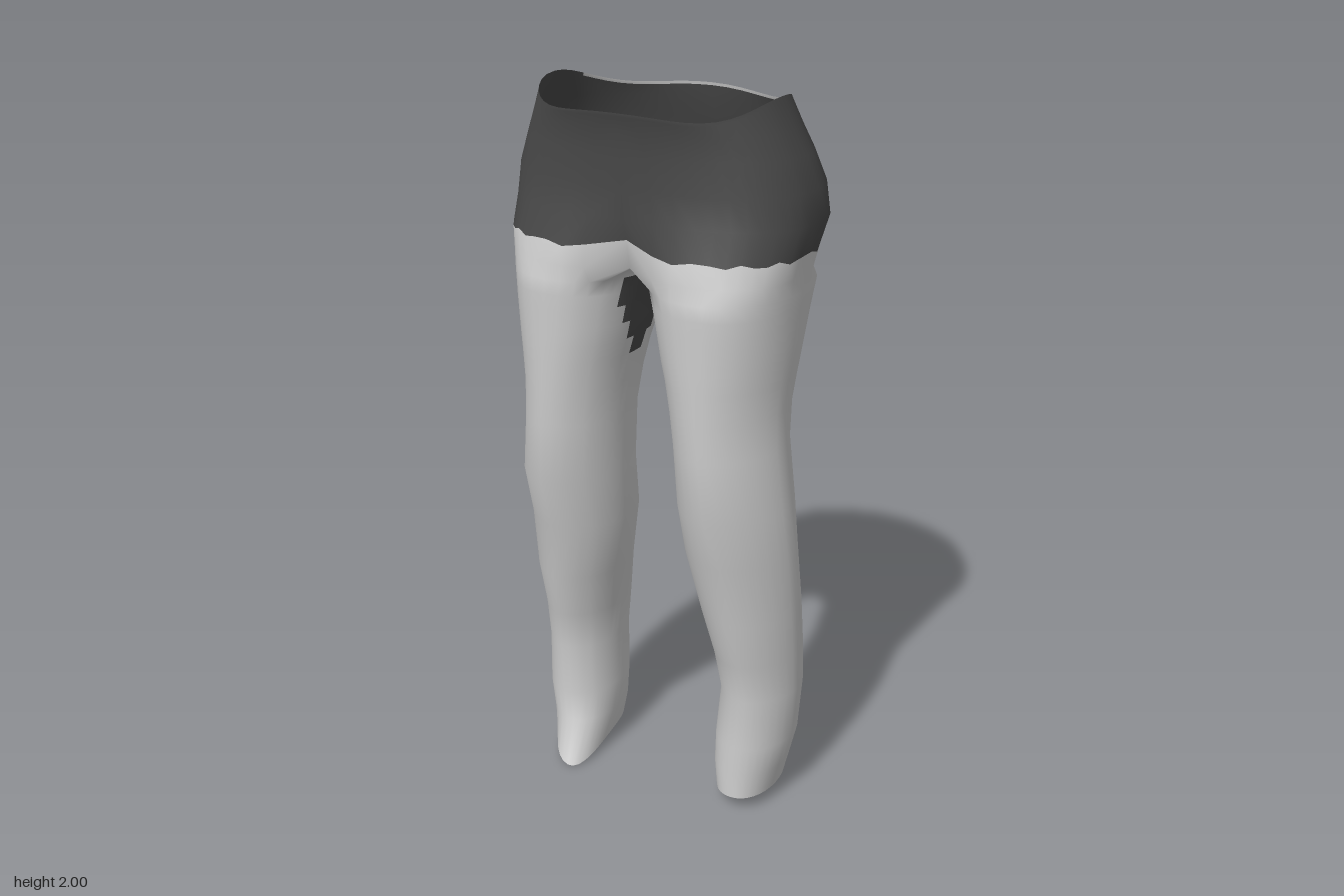
import * as THREE from 'three';
import { mergeVertices } from 'three/addons/utils/BufferGeometryUtils.js';

const K = 24; // segments round the outer arc, front centre to back centre
const M = 12; // segments across the inner thigh
const N = K + M;

// hips: y, half width, front z, back z, front crease, back crease, front roundness
const hips = [
  [1.965, 0.328, 0.257, -0.207, 0, 0, 0.85],
  [1.957, 0.331, 0.256, -0.209, 0, 0, 0.85],
  [1.92, 0.357, 0.245, -0.217, 0, 0, 0.85],
  [1.86, 0.385, 0.237, -0.235, 0, 0, 0.83],
  [1.78, 0.414, 0.237, -0.262, 0.005, 0, 0.79],
  [1.70, 0.422, 0.243, -0.28, 0.015, 0, 0.75],
  [1.625, 0.412, 0.27, -0.243, 0.06, 0.005, 0.7],
  [1.57, 0.402, 0.277, -0.226, 0.08, 0.025, 0.69],
];
const seamRow = 6;
const crotchRow = hips.length - 1;

// legs: y, inner x, outer x, back z, front z
const legs = [
  [1.53, 0.014, 0.398, -0.21, 0.278],
  [1.49, 0.025, 0.394, -0.197, 0.278],
  [1.45, 0.035, 0.391, -0.184, 0.278],
  [1.40, 0.045, 0.388, -0.17, 0.277],
  [1.35, 0.055, 0.385, -0.157, 0.277],
  [1.30, 0.068, 0.381, -0.144, 0.276],
  [1.22, 0.083, 0.376, -0.124, 0.275],
  [1.12, 0.095, 0.38, -0.108, 0.272],
  [0.95, 0.103, 0.4, -0.11, 0.264],
  [0.80, 0.104, 0.405, -0.12, 0.218],
  [0.62, 0.143, 0.407, -0.143, 0.188],
  [0.48, 0.17, 0.402, -0.162, 0.152],
  [0.36, 0.188, 0.4, -0.165, 0.13],
  [0.21, 0.18, 0.392, -0.146, 0.135],
  [0.12, 0.183, 0.372, -0.132, 0.137],
  [0.045, 0.197, 0.355, -0.12, 0.14],
];

// half widths of the dark inner-thigh patch, from the top leg row down
const patchWidths = [4, 4, 3, 2, 1];

const bow = (v, e) => Math.sign(v) * Math.abs(v) ** e;

function hipPoint(r, k) {
  const [y, w, front, back, creaseF, creaseB, round] = hips[r];
  const a = Math.PI * (0.5 - k / K);
  const s = Math.sin(a), e = s > 0 ? round : 0.95;
  const x = k === 0 || k === K ? 0 : w * bow(Math.cos(a), e);
  const near = Math.max(0, 1 - x / 0.2) ** 2;
  const z = (front + back) / 2 + (front - back) / 2 * bow(s, e) - near * (s > 0 ? creaseF : -creaseB);
  let dy = 0;
  if (r < 2) dy = 0.035 * Math.cos(a) ** 4 - 0.015 * Math.sin(2 * a) ** 2; // raised sides of the waist
  if (r === seamRow) dy = k === 0 ? 0.02 : s < -0.5 ? -0.03 : 0.006 * Math.sin(k * 2.3);
  return [x, y + dy, z];
}

// crotch saddle, running from the back centre to the front centre
function crotchPoint(k) {
  const a = hipPoint(crotchRow, K), b = hipPoint(crotchRow, 0), t = (k - K) / M;
  return [0, a[1] - 0.012 * Math.sin(Math.PI * t), a[2] + (b[2] - a[2]) * t];
}

function legPoint(r, k, side) {
  const [y, inner, outerX, back, front] = legs[r];
  const outer = outerX + side * 0.004;
  const a = k <= K ? Math.PI * (0.75 - 1.5 * k / K) : Math.PI * (-0.75 - 0.5 * (k - K) / M);
  const c = Math.cos(a), s = Math.sin(a);
  // rounder at the thigh, flatter on the outer corners round the knee
  const knee = THREE.MathUtils.smoothstep(1.55 - y, 0, 0.45) * THREE.MathUtils.smoothstep(y, 0, 0.5);
  const e = c > 0 ? 0.93 + 0.25 * knee : 0.9 + 0.12 * knee;
  let x = (inner + outer) / 2 + (outer - inner) / 2 * bow(c, e);
  let z = (front + back) / 2 + (front - back) / 2 * bow(s, e);
  let yy = y;
  if (r === legs.length - 1 && side < 0) { // longer inner front corner on the right hem
    const tip = Math.max(0, Math.cos(a - Math.PI * 0.62)) ** 2;
    yy -= 0.045 * tip;
    z += 0.06 * tip;
    x -= 0.02 * tip;
  }
  return [x, yy, z];
}

function createModel() {
  const positions = [];
  const faces = { shorts: [], legs: [], thighPatches: [], waistTrim: [] };

  for (const side of [1, -1]) {
    const start = positions.length / 3;
    const rowCount = hips.length + legs.length;
    for (let r = 0; r < rowCount; r++) {
      for (let k = 0; k < N; k++) {
        const p = r > crotchRow ? legPoint(r - hips.length, k, side)
          : k <= K ? hipPoint(r, k) : crotchPoint(k);
        positions.push(side * p[0], p[1], p[2]);
      }
    }
    for (let r = 0; r < rowCount - 1; r++) {
      const columns = r < crotchRow ? K : N; // hips are open at the middle, legs close round
      for (let k = 0; k < columns; k++) {
        const a = start + r * N + k, b = start + r * N + (k + 1) % N;
        const c = a + N, d = b + N;
        const offMiddle = Math.abs(k + 0.5 - K - M / 2);
        const dark = offMiddle < patchWidths[r - hips.length];
        const trim = r === 0 && k > K * 0.6; // pale edge along the back of the waist
        const list = trim ? faces.waistTrim : r < seamRow ? faces.shorts
          : dark ? faces.thighPatches : faces.legs;
        if (side > 0) list.push(a, c, d, a, d, b);
        else list.push(a, d, c, a, b, d);
      }
    }
  }

  // weld both halves so shading runs smoothly across the centre and the colour seam
  let cloth = new THREE.BufferGeometry();
  cloth.setAttribute('position', new THREE.Float32BufferAttribute(positions, 3));
  cloth.setIndex(Object.values(faces).flat());
  cloth = mergeVertices(cloth, 1e-4);
  cloth.computeVertexNormals();

  const charcoal = new THREE.MeshStandardMaterial({ color: 0x484848, side: THREE.DoubleSide });
  charcoal.name = 'charcoal cloth';
  const paleGrey = new THREE.MeshStandardMaterial({ color: 0xcccccc, side: THREE.DoubleSide });
  paleGrey.name = 'pale grey cloth';
  const materials = { shorts: charcoal, legs: paleGrey, thighPatches: charcoal, waistTrim: paleGrey };

  const group = new THREE.Group();
  group.name = 'trousers';
  const index = Array.from(cloth.index.array);
  let offset = 0;
  for (const [name, list] of Object.entries(faces)) {
    const part = new THREE.BufferGeometry();
    part.setAttribute('position', cloth.attributes.position);
    part.setAttribute('normal', cloth.attributes.normal);
    part.setIndex(index.slice(offset, offset + list.length));
    offset += list.length;
    const mesh = new THREE.Mesh(part, materials[name]);
    mesh.name = name;
    group.add(mesh);
  }
  return group;
}

export { createModel };
